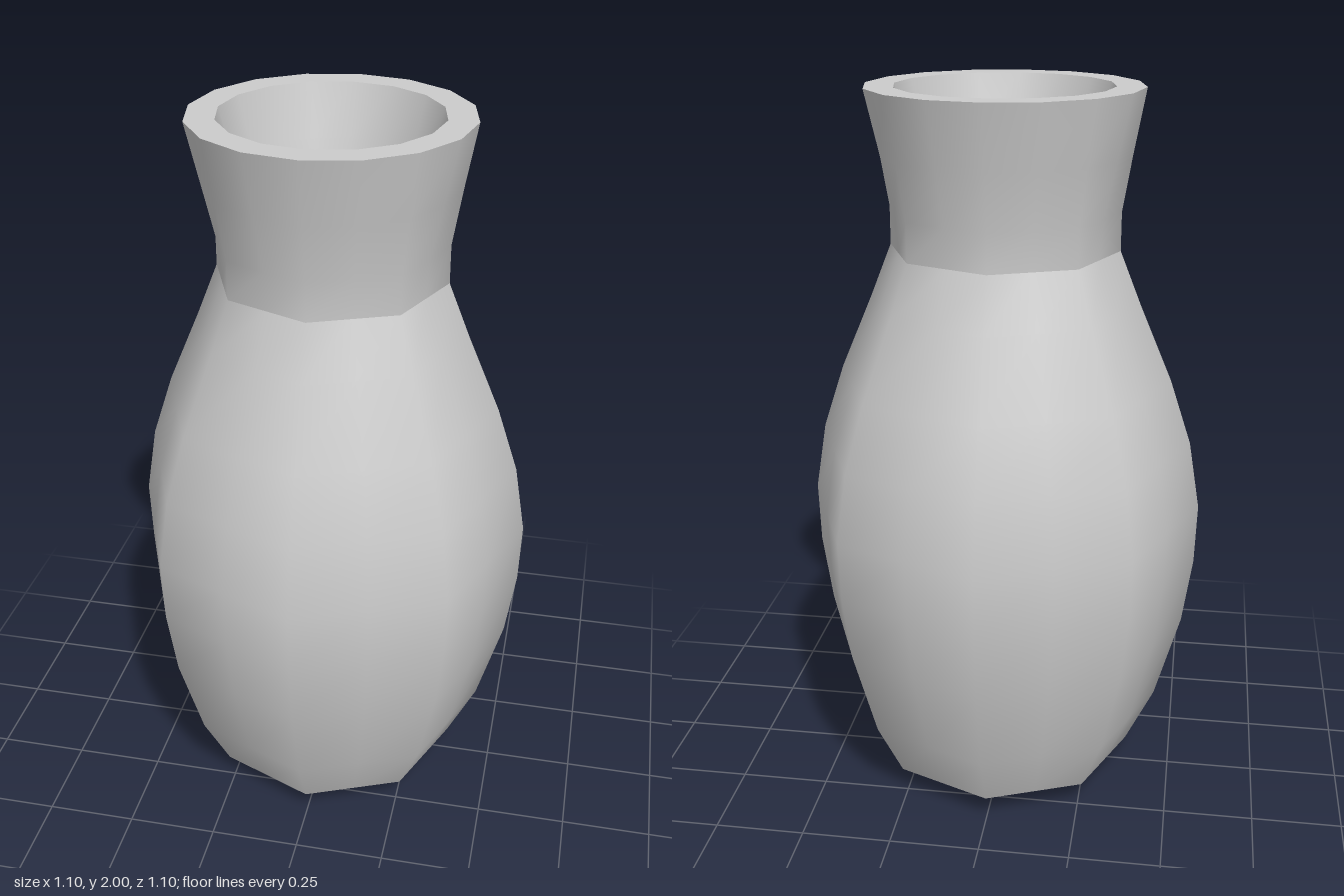
import * as THREE from 'three';

const SIDES = 16;
const material = new THREE.MeshStandardMaterial({ color: 0xcccccc });

// Lofts rings of [radius, height, roundness]: roundness 0 is an octagon, 1 a full 16-gon.
// Rings running upwards face outwards; rings running downwards face inwards.
function loft(name, rings) {
  const positions = [];
  const index = [];
  rings.forEach(([radius, y, roundness = 0], i) => {
    for (let j = 0; j < SIDES; j++) {
      const angle = (j / SIDES) * Math.PI * 2;
      const chord = j % 2 ? Math.cos(Math.PI / 8) : 1;
      const r = radius * THREE.MathUtils.lerp(chord, 1, roundness);
      positions.push(r * Math.sin(angle), y, r * Math.cos(angle));
      if (i === rings.length - 1) continue;
      const k = (j + 1) % SIDES;
      const a = i * SIDES + j, b = i * SIDES + k;
      const c = b + SIDES, d = a + SIDES;
      if (radius > 0) index.push(a, b, c);
      if (radius === 0) index.push(a, c, d);
      else if (rings[i + 1][0] > 0) index.push(a, c, d);
      else index.splice(index.length - 3, 3, a, b, d);
    }
  });
  const geometry = new THREE.BufferGeometry();
  geometry.setAttribute('position', new THREE.Float32BufferAttribute(positions, 3));
  geometry.setIndex(index);
  geometry.computeVertexNormals();
  const mesh = new THREE.Mesh(geometry, material);
  mesh.name = name;
  return mesh;
}

export function createModel() {
  const vase = new THREE.Group();
  vase.name = 'vase';

  // Outer shell, from the underside up to the lip
  vase.add(loft('base', [[0, 0], [0.24, 0.02], [0.37, 0.075]]));
  vase.add(loft('body', [
    [0.37, 0.075], [0.45, 0.24], [0.52, 0.49], [0.547, 0.68], [0.552, 0.85],
    [0.52, 1.04], [0.46, 1.22], [0.37, 1.43], [0.312, 1.575],
  ]));
  vase.add(loft('neck', [
    [0.312, 1.575], [0.312, 1.68, 0.3], [0.337, 1.83, 0.7], [0.368, 2, 1],
  ]));

  // Flat lip
  vase.add(loft('rim', [[0.368, 2, 1], [0.29, 2, 1]]));

  // Inside, from the lip down to the hollow floor
  vase.add(loft('throat', [
    [0.29, 2, 1], [0.255, 1.86, 0.7], [0.21, 1.7, 0.3], [0.19, 1.58],
  ]));
  vase.add(loft('hollow', [
    [0.19, 1.58], [0.26, 1.38], [0.35, 1.17], [0.405, 1.01], [0.432, 0.84],
    [0.43, 0.69], [0.405, 0.52], [0.345, 0.3], [0.28, 0.18], [0.15, 0.13], [0, 0.12],
  ]));

  return vase;
}
